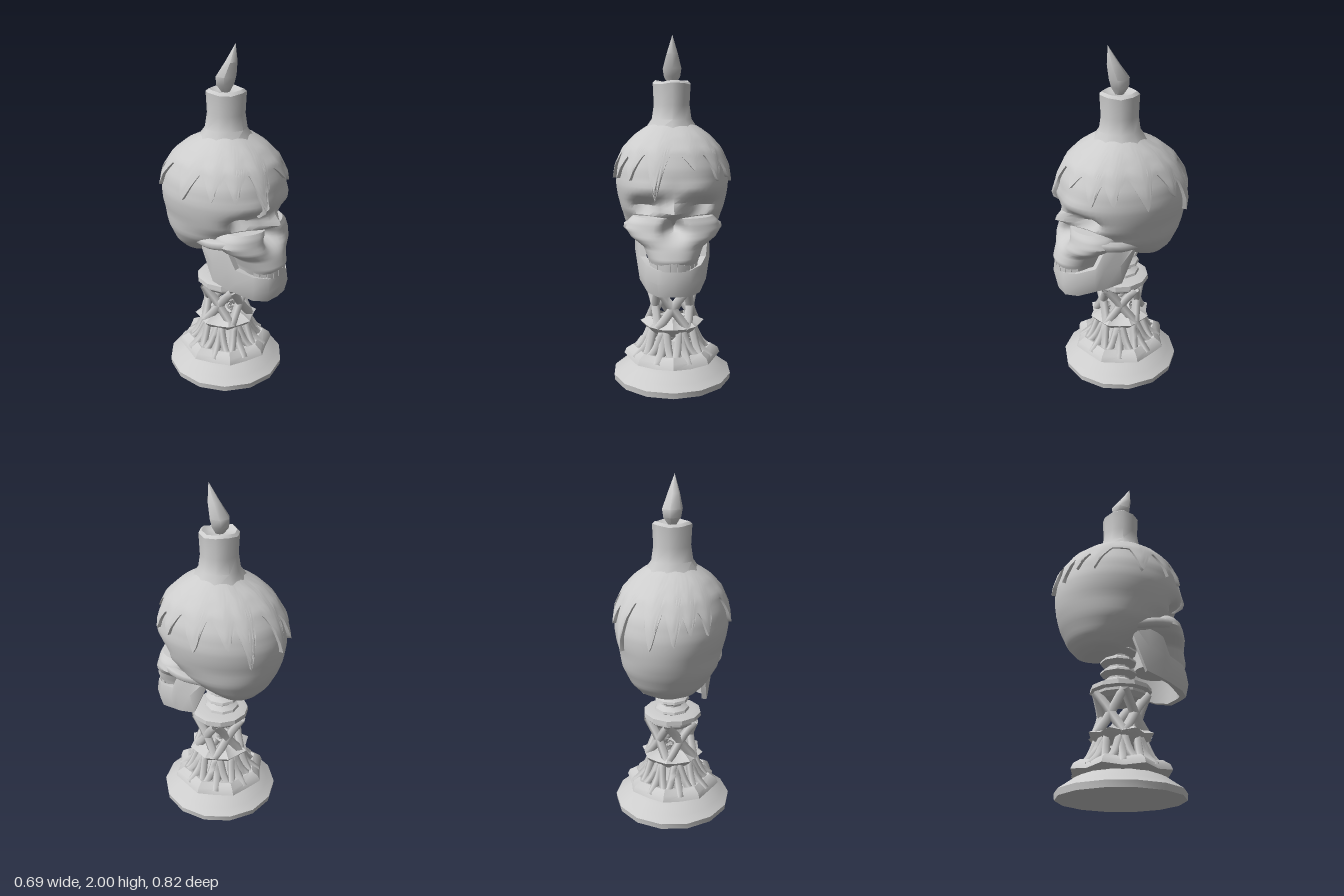
import * as THREE from 'three';
import { toCreasedNormals, mergeGeometries } from 'three/addons/utils/BufferGeometryUtils.js';

const TAU = Math.PI * 2;
const stone = new THREE.MeshStandardMaterial({ color: 0xcccccc, side: THREE.DoubleSide });
stone.name = 'grey';

export function createModel() {
  const model = new THREE.Group();
  model.name = 'skullCandlestick';

  const add = (name, geo, crease = 0.6) => {
    const mesh = new THREE.Mesh(toCreasedNormals(geo, crease), stone);
    mesh.name = name;
    model.add(mesh);
    return mesh;
  };

  // Closed-around surface: fn(angle, v) gives a point, v runs 0 (top) to 1 (bottom)
  const surface = (segs, rows, fn) => {
    const g = new THREE.CylinderGeometry(1, 1, 1, segs, rows, true);
    const { position: p, uv } = g.attributes;
    for (let i = 0; i < p.count; i++) {
      const a = Math.round(uv.getX(i) * segs) % segs * TAU / segs;
      p.setXYZ(i, ...fn(a, 1 - uv.getY(i)));
    }
    return g;
  };
  const lathe = (pts, segs) =>
    new THREE.LatheGeometry(pts.map(([r, y]) => new THREE.Vector2(r, y)), segs);
  const tube = (pts, r, segs = 6, sides = 5) => new THREE.TubeGeometry(
    new THREE.CatmullRomCurve3(pts.map(p => new THREE.Vector3(...p))), segs, r, sides);
  const polar = (r, a, y) => [r * Math.sin(a), y, r * Math.cos(a)];

  // Look up [y, halfWidth, zFront, zBack] in a table sorted downwards
  const lookup = (table, y) => {
    let i = 0;
    while (i < table.length - 2 && y < table[i + 1][0]) i++;
    const [A, B] = [table[i], table[i + 1]];
    const t = THREE.MathUtils.clamp((A[0] - y) / (A[0] - B[0]), 0, 1);
    return A.map((v, k) => v + (B[k] - v) * t);
  };
  const bump = (x, y, cx, cy, rx, ry) =>
    Math.exp(-(((x - cx) / rx) ** 2) - ((y - cy) / ry) ** 2);

  // Eye sockets, brow and nose bridge as changes in depth
  const orbits = (x, y) => {
    const ax = Math.abs(x);
    return -0.11 * bump(ax, y, 0.15, 1.075, 0.08, 0.05)
      + 0.02 * bump(ax, y, 0.13, 1.17, 0.12, 0.05)
      + 0.055 * bump(ax, y, 0, 1.06, 0.05, 0.04);
  };
  // Tapered nose opening, narrow at the top
  const nose = (x, y) => -0.11 * bump(Math.abs(x), y, 0, 0.965, 0.03 + Math.max(0, 1.04 - y) * 0.25, 0.055);

  const ringPoint = (table, a, y, relief, grow = 0) => {
    const [, w, zf, zb] = lookup(table, y);
    const s = Math.sin(a), c = Math.cos(a), mid = (zf + zb) / 2;
    const e = c > 0 ? 0.9 : 1;
    const x = Math.sign(s) * Math.abs(s) ** e * (w + grow);
    let z = mid + Math.sign(c) * Math.abs(c) ** e * ((zf - zb) / 2 + grow);
    if (c > 0) z += relief(x, y) * Math.min(1, c * 2);
    return [x, y, z];
  };

  // Cranium with the eye sockets
  const skullTable = [
    [1.55, 0, 0, 0], [1.52, 0.10, 0.10, -0.10], [1.49, 0.15, 0.15, -0.14],
    [1.45, 0.205, 0.215, -0.22], [1.38, 0.268, 0.288, -0.305], [1.28, 0.312, 0.335, -0.37],
    [1.18, 0.325, 0.345, -0.397], [1.11, 0.315, 0.34, -0.397], [1.04, 0.297, 0.34, -0.388],
    [1.0, 0.287, 0.27, -0.377], [0.95, 0.275, 0.22, -0.36], [0.91, 0.25, 0.16, -0.34],
    [0.86, 0.215, 0.06, -0.315], [0.81, 0.16, -0.02, -0.27], [0.78, 0.08, -0.10, -0.22],
    [0.775, 0, -0.16, -0.16],
  ];
  add('cranium', surface(60, 44, (a, v) =>
    ringPoint(skullTable, a, 1.1625 + 0.3875 * Math.cos(Math.PI * v), orbits)), 0.8);

  // Cheeks tapering down into the upper jaw, with the nose opening
  const cheekTable = [
    [1.03, 0, 0.17, 0.17], [1.025, 0.215, 0.325, 0.04], [0.99, 0.25, 0.34, 0.03], [0.95, 0.265, 0.35, 0.02],
    [0.91, 0.235, 0.37, 0.06], [0.86, 0.165, 0.385, 0.1], [0.8, 0.142, 0.405, 0.1],
    [0.75, 0.128, 0.39, 0.1], [0.74, 0, 0.25, 0.25],
  ];
  add('cheeksAndUpperJaw', surface(64, 29, (a, v) => ringPoint(cheekTable, a, 1.03 - 0.29 * v, nose)), 0.7);

  // Teeth in low relief along the mouth
  const teeth = [];
  for (let i = -4; i <= 4; i++) {
    const a = i * 0.27;
    const g = new THREE.BoxGeometry(0.035, 0.06, 0.02);
    g.rotateY(a);
    g.translate(Math.sin(a) * 0.128, 0.775, 0.255 + Math.cos(a) * 0.137);
    teeth.push(g);
  }
  add('teeth', mergeGeometries(teeth));

  // Lower jaw: stations of [x, z, bottom, top], mirrored around the chin
  const half = [[0.215, 0.0, 0.86, 0.93], [0.215, 0.08, 0.67, 0.925], [0.205, 0.18, 0.645, 0.9],
    [0.19, 0.23, 0.635, 0.79], [0.155, 0.33, 0.61, 0.765], [0.09, 0.39, 0.6, 0.75]];
  const stations = [...half, [0, 0.405, 0.605, 0.755],
    ...half.slice().reverse().map(([x, ...r]) => [-x, ...r])];
  const verts = [], faces = [];
  stations.forEach(([x, z, b, t], i) => {
    const ix = x * 0.78, iz = z - (z > 0.3 ? 0.05 : 0.01);
    verts.push(x * 0.92, b, z - 0.015, x, (b + t) / 2, z, x * 0.96, t, z - 0.01, ix, t, iz, ix, b, iz);
    if (!i) return;
    for (let k = 0; k < 5; k++) {
      const a = (i - 1) * 5 + k, c = (i - 1) * 5 + (k + 1) % 5;
      faces.push(a, c, a + 5, c, c + 5, a + 5);
    }
  });
  const end = (stations.length - 1) * 5;
  for (let k = 1; k < 4; k++) faces.push(0, k + 1, k, end, end + k, end + k + 1);
  const jaw = new THREE.BufferGeometry();
  jaw.setAttribute('position', new THREE.Float32BufferAttribute(verts, 3));
  jaw.setIndex(faces);
  add('lowerJaw', jaw, 0.7);

  // Cheekbone arches reaching back to the jaw hinge
  for (const s of [-1, 1]) {
    add(s > 0 ? 'leftCheekbone' : 'rightCheekbone', tube([[s * 0.19, 0.97, 0.26],
      [s * 0.235, 0.96, 0.19], [s * 0.25, 0.945, 0.1], [s * 0.215, 0.925, -0.02]], 0.03, 8, 7), 1);
  }

  // Melted wax over the crown, with a hem of pointed drips [angle, lowest y]
  const drips = [[0.3, 1.28], [0.77, 1.2], [1.12, 1.21], [1.58, 1.17], [2.08, 1.2], [2.4, 1.09],
    [3.02, 1.12], [3.39, 1.14], [3.65, 1.2], [3.97, 1.2], [4.7, 1.19], [5.15, 1.22], [5.53, 1.21], [6.02, 1.11]];
  const hem = a => Math.min(...drips.map(([d, y]) => {
    const off = Math.abs(Math.atan2(Math.sin(a - d), Math.cos(a - d)));
    return 1.36 - (1.36 - y) * Math.max(0, 1 - off / 0.22) ** 1.4;
  }));
  add('waxCoat', surface(144, 12, (a, v) => {
    const t = Math.min(1, v * 12 / 11);
    const low = hem(a);
    const y = 1.52 + (low - 1.52) * t;
    return ringPoint(skullTable, a, y, orbits, v > 0.99 ? -0.012 : 0.012 + 0.012 * t * (1.36 - low) / 0.2);
  }), 1.1);

  // Candle with a slightly hollow top, flaring into the wax
  const candleRows = [[0, 1.735], [0.06, 1.735], [0.095, 1.752], [0.112, 1.738], [0.106, 1.62], [0.118, 1.54], [0.165, 1.475]];
  add('candle', surface(10, 6, (a, v) => {
    const k = Math.round(v * 6), [r, y] = candleRows[k];
    const uneven = 0.006 * Math.sin(3 * a + 1);
    return polar(k ? r + uneven * 0.5 : 0, a, k === 2 || k === 3 ? y + uneven : y);
  }), 0.8);

  // Leaning flame
  const flameRows = [[2, 0, 0.065], [1.9, 0.036, 0.035], [1.82, 0.06, 0], [1.775, 0.052, -0.005], [1.72, 0.015, 0]];
  add('flame', surface(6, 4, (a, v) => {
    const [y, r, z] = flameRows[Math.round(v * 4)];
    return [r * Math.sin(a), y, z + r * Math.cos(a)];
  }), 1.1);

  // Neck bones
  const bones = [[0, 0.6]];
  for (let i = 0; i < 4; i++) {
    const y = 0.61 + i * 0.065;
    bones.push([0.065, y], [0.105, y + 0.022], [0.1, y + 0.036], [0.065, y + 0.055]);
  }
  add('neckBones', lathe(bones, 9), 0.5).position.z = -0.015;

  // Foot disc
  add('footDisc', lathe([[0, 0], [0.35, 0], [0.354, 0.035], [0.31, 0.065], [0.26, 0.1],
    [0.21, 0.125], [0, 0.125]], 14), 0.5);

  // Faceted collars; every other corner juts out
  const collar = (name, rows, corners, jut) => add(name, surface(corners * 2, rows.length - 1, (a, v) => {
    const [r, y] = rows[Math.round(v * (rows.length - 1))];
    const odd = Math.round(a / TAU * corners * 2) % 2;
    return polar(r - odd * jut, a, y - odd * 0.012);
  }), 0.7);
  collar('lowerCollar', [[0.18, 0.18], [0.235, 0.195], [0.275, 0.17], [0.288, 0.14], [0.22, 0.115]], 8, 0.03);
  collar('middleCollar', [[0.1, 0.38], [0.14, 0.37], [0.19, 0.345], [0.165, 0.315], [0.12, 0.28], [0.09, 0.3]], 8, 0.025);
  add('topCollar', lathe([[0, 0.54], [0.125, 0.54], [0.15, 0.565], [0.15, 0.58], [0.175, 0.59],
    [0.172, 0.615], [0.14, 0.625], [0, 0.615]], 12), 0.5);

  // Wide crossed bars of the stem
  const bars = [], skirt = [];
  for (let i = 0; i < 5; i++) {
    const a = i * TAU / 5;
    for (const s of [-1, 1]) {
      bars.push(tube([polar(0.15, a - s * 0.63, 0.33), polar(0.112, a - s * 0.18, 0.42),
        polar(0.112, a + s * 0.18, 0.48), polar(0.15, a + s * 0.63, 0.57)], 0.027));
    }
  }
  add('stemBars', mergeGeometries(bars), 1.3);

  // Branching bars of the flared skirt
  for (let i = 0; i < 8; i++) {
    const a = i * TAU / 8;
    for (const s of [-1, 1]) {
      skirt.push(tube([polar(0.25, a, 0.14), polar(0.18, a + s * 0.13, 0.2),
        polar(0.125, a + s * 0.32, 0.32)], 0.024));
    }
    skirt.push(tube([polar(0.24, a + 0.39, 0.14), polar(0.165, a + 0.39, 0.21), polar(0.12, a + 0.39, 0.31)], 0.027));
  }
  add('skirtBars', mergeGeometries(skirt), 1.3);

  return model;
}
